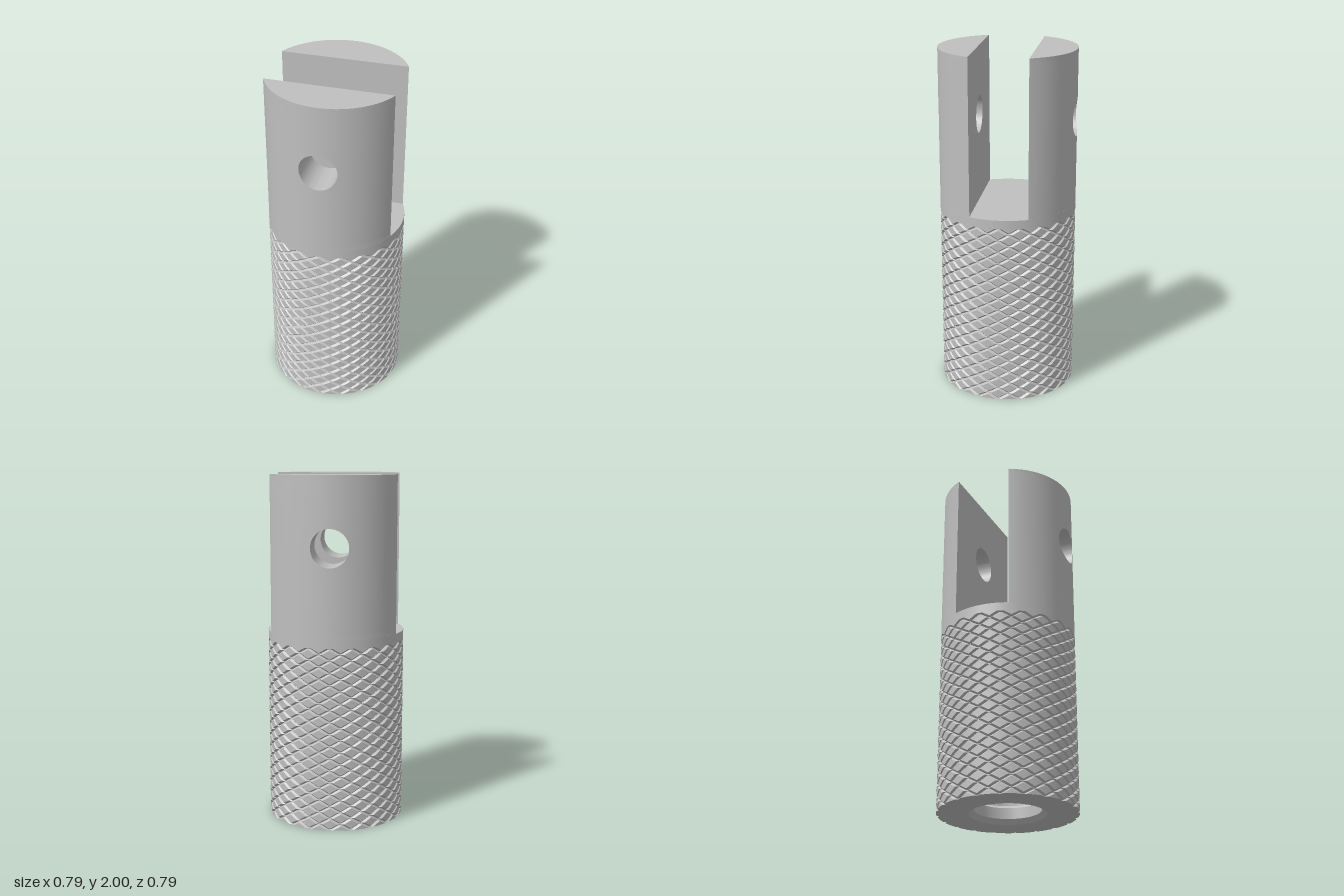
import * as THREE from 'three';
import { toCreasedNormals } from 'three/addons/utils/BufferGeometryUtils.js';

const R = 0.394;                 // body radius
const SLOT = 0.165, FLOOR = 1.105, TOP = 2;
const HOLE_R = 0.107, HOLE_Y = 1.607;
const BORE_R = 0.215, BORE_DEPTH = 0.9;
const STARTS = 20, ROWS = 15, KNURL_TOP = 1.055, GROOVE = 0.012;

const onCylinder = (angle, y, r = R) => [r * Math.sin(angle), y, r * Math.cos(angle)];

function fromTriangles(positions, crease = 0.5) {
  const g = new THREE.BufferGeometry();
  g.setAttribute('position', new THREE.Float32BufferAttribute(positions, 3));
  return toCreasedNormals(g, crease);
}

// Diamond lattice of crossing V grooves; a and b run along the two helix families
const steps = [0, 0.15, 0.38, 0.62, 0.85, 1];
function knurlPoint(a, b, inGroove) {
  const y = (a + b) * KNURL_TOP / ROWS / 2;
  const r = inGroove && y < KNURL_TOP - 1e-5 ? R - GROOVE : R;
  return onCylinder((a - b) * Math.PI / STARTS, y, r);
}
function knurlGeometry() {
  const out = [], last = steps.length - 1;
  const tri = (...pts) => {
    if (pts.every(p => p[1] > -1e-5 && p[1] < KNURL_TOP + 1e-5)) pts.forEach(p => out.push(...p));
  };
  for (let m = -1; m < ROWS * 2; m++) {
    for (let n = 0; n < STARTS; n++) {
      const k = 2 * n + Math.abs(m % 2);
      const i = (m + k) / 2, j = (m - k) / 2;
      const at = (p, q) => knurlPoint(i + steps[p], j + steps[q], p % last === 0 || q % last === 0);
      for (let p = 0; p < last; p++) {
        for (let q = 0; q < last; q++) {
          const right = at(p + 1, q), left = at(p, q + 1);
          tri(at(p, q), right, left);
          tri(right, at(p + 1, q + 1), left);
        }
      }
    }
  }
  return fromTriangles(out);
}

// Bottom ring follows the notched edge of the knurl
function bottomGeometry() {
  const pts = [];
  for (let n = 0; n < STARTS; n++) {
    steps.slice(0, -1).forEach((s, idx) => {
      const [x, , z] = onCylinder((2 * n + 2 * s) * Math.PI / STARTS, 0, idx === 0 ? R - GROOVE : R);
      pts.push(new THREE.Vector2(x, z));
    });
  }
  const shape = new THREE.Shape(pts);
  shape.holes.push(new THREE.Path().absarc(0, 0, BORE_R, 0, Math.PI * 2));
  return new THREE.ShapeGeometry(shape, 32).rotateX(Math.PI / 2);
}

// Threaded blind bore
function boreGeometry() {
  const pitch = 0.1, crest = 0.188;
  const pts = [[0, BORE_DEPTH], [crest, BORE_DEPTH]];
  for (let y = BORE_DEPTH - pitch; y > 0.05; y -= pitch) {
    pts.push([crest, y + 0.06], [BORE_R, y + 0.04], [BORE_R, y + 0.01], [crest, y - 0.01]);
  }
  pts.push([crest, 0.027], [BORE_R, 0]);
  const lathe = new THREE.LatheGeometry(pts.map(p => new THREE.Vector2(...p)), 64);
  return toCreasedNormals(lathe, 0.4);
}

// Outer wall of one prong, spread from the pin hole to the prong's border, plus the hole's lining
function prongGeometries() {
  const reach = Math.acos(SLOT / R), n = 24, rings = 12;
  const corners = [[-reach, FLOOR], [reach, FLOOR], [reach, TOP], [-reach, TOP]];
  const border = [];
  corners.forEach((c, i) => {
    const d = corners[(i + 1) % 4];
    for (let k = 0; k < n; k++) border.push([c[0] + (d[0] - c[0]) * k / n, c[1] + (d[1] - c[1]) * k / n]);
  });
  const rim = border.map(([u, y]) => {
    const phi = Math.atan2(y - HOLE_Y, u * R);
    return [Math.asin(HOLE_R * Math.cos(phi) / R), HOLE_Y + HOLE_R * Math.sin(phi)];
  });
  const wall = [], lining = [];
  const quad = (out, a, b, c, d) => out.push(...a, ...b, ...c, ...a, ...c, ...d);
  border.forEach((_, i) => {
    const i2 = (i + 1) % border.length;
    const at = (k, t) => onCylinder(
      THREE.MathUtils.lerp(rim[k][0], border[k][0], t),
      THREE.MathUtils.lerp(rim[k][1], border[k][1], t));
    for (let s = 0; s < rings; s++) {
      quad(wall, at(i, s / rings), at(i, (s + 1) / rings), at(i2, (s + 1) / rings), at(i2, s / rings));
    }
    const a = at(i, 0), b = at(i2, 0);
    quad(lining, a, b, [b[0], b[1], SLOT], [a[0], a[1], SLOT]);
  });

  // Flat face toward the slot
  const w = R * Math.sin(reach);
  const flat = new THREE.Shape([[-w, FLOOR], [w, FLOOR], [w, TOP], [-w, TOP]].map(p => new THREE.Vector2(...p)));
  flat.holes.push(new THREE.Path().absarc(0, HOLE_Y, HOLE_R, 0, Math.PI * 2));
  const cap = new THREE.Shape().absarc(0, 0, R, -Math.PI / 2 - reach, -Math.PI / 2 + reach);

  return {
    prongWall: fromTriangles(wall),
    pinHole: fromTriangles(lining),
    slotFace: new THREE.ShapeGeometry(flat, 32).rotateY(Math.PI).translate(0, 0, SLOT),
    prongTop: new THREE.ShapeGeometry(cap, 48).rotateX(-Math.PI / 2).translate(0, TOP, 0),
  };
}

export function createModel() {
  const model = new THREE.Group();
  model.name = 'knurledClevis';
  const steel = new THREE.MeshStandardMaterial({ color: 0xbfbfbf });
  steel.name = 'steel grey';
  const add = (parent, name, geometry) => {
    const mesh = new THREE.Mesh(geometry, steel);
    mesh.name = name;
    parent.add(mesh);
  };

  // Knurled grip
  add(model, 'knurledGrip', knurlGeometry());
  add(model, 'bottomFace', bottomGeometry());
  add(model, 'threadedBore', boreGeometry());

  // Smooth collar and slot floor
  const band = FLOOR - KNURL_TOP;
  add(model, 'collar', new THREE.CylinderGeometry(R, R, band, 100, 1, true).translate(0, KNURL_TOP + band / 2, 0));
  add(model, 'slotFloor', new THREE.CircleGeometry(R, 100).rotateX(-Math.PI / 2).translate(0, FLOOR, 0));

  // Two mirrored prongs
  const parts = prongGeometries();
  ['frontProng', 'backProng'].forEach((name, i) => {
    const prong = new THREE.Group();
    prong.name = name;
    prong.rotation.y = i * Math.PI;
    for (const part in parts) add(prong, part, parts[part]);
    model.add(prong);
  });
  return model;
}
